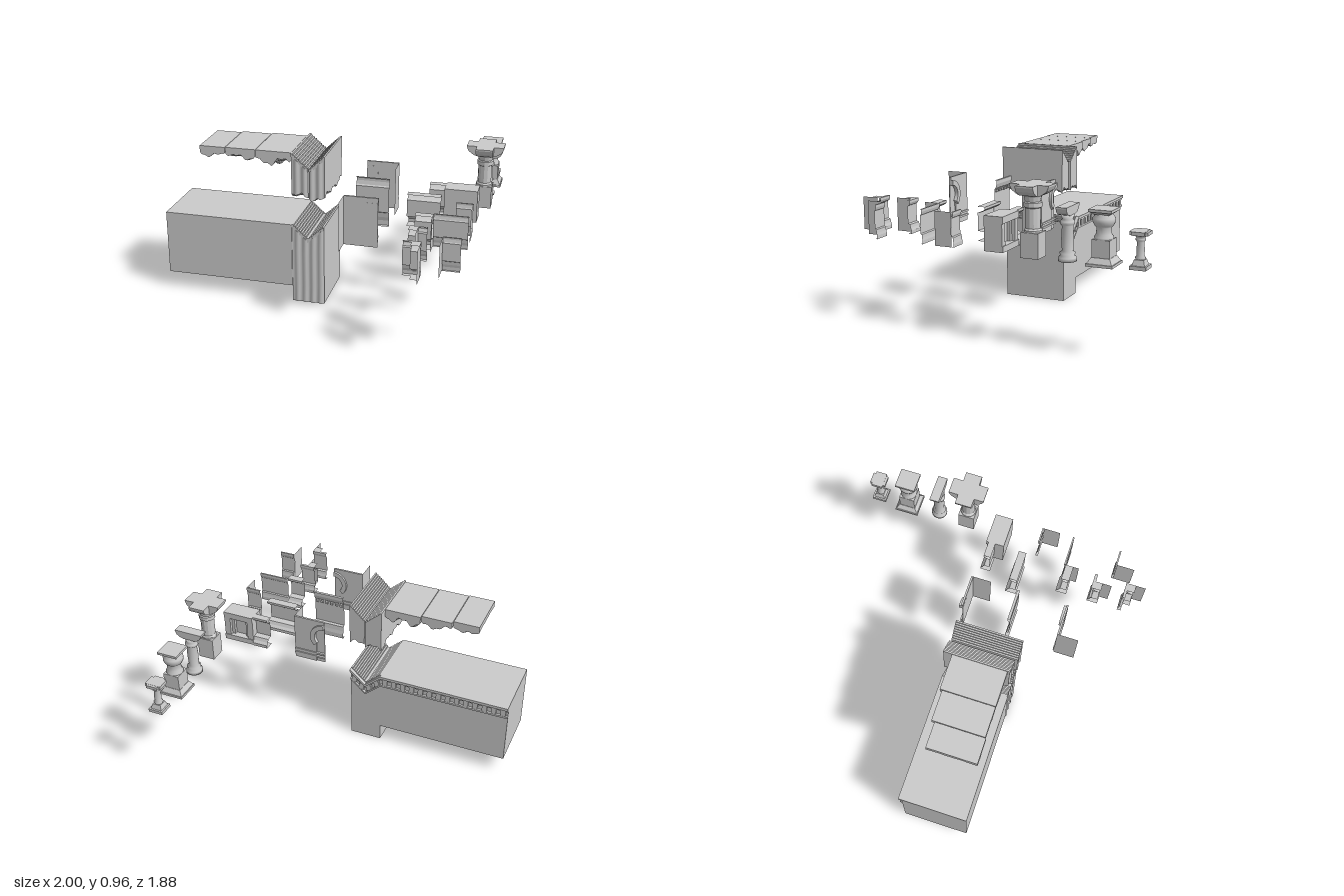
import * as THREE from 'three';

const mat = new THREE.MeshStandardMaterial({ color: 0xcccccc, flatShading: true, side: THREE.DoubleSide });
const smooth = new THREE.MeshStandardMaterial({ color: 0xcccccc, side: THREE.DoubleSide });

export function createModel() {
  const root = new THREE.Group();
  const add = (name, geo, parent = root, m = mat) => {
    const mesh = new THREE.Mesh(geo, m);
    mesh.name = name;
    parent.add(mesh);
    return mesh;
  };
  const group = (name, x = 0, y = 0, z = 0) => {
    const g = new THREE.Group();
    g.name = name;
    g.position.set(x, y, z);
    root.add(g);
    return g;
  };
  const box = (name, x0, x1, y0, y1, z0, z1, parent = root) => {
    const geo = new THREE.BoxGeometry(x1 - x0, y1 - y0, z1 - z0);
    geo.translate((x0 + x1) / 2, (y0 + y1) / 2, (z0 + z1) / 2);
    return add(name, geo, parent);
  };
  const extrude = (pts, depth) => new THREE.ExtrudeGeometry(
    new THREE.Shape(pts.map(p => new THREE.Vector2(...p))), { depth, bevelEnabled: false });

  // Slab whose top and bottom follow functions of x and z, with a rippled front
  const slab = (name, x0, x1, z0, z1, top, bottom, ripple = 0, m = mat) => {
    const geo = new THREE.BoxGeometry(1, 1, 1, 18, 4, 24), p = geo.attributes.position;
    for (let i = 0; i < p.count; i++) {
      const v = p.getY(i) + 0.5, w = p.getZ(i) + 0.5;
      const x = x0 + (x1 - x0) * (p.getX(i) + 0.5);
      const z = z0 + (z1 - z0) * w - ripple * (w > 0.99 ? 1 + Math.sin(x * 130) : 0);
      const b = bottom(x, z), t = top(x, z);
      p.setXYZ(i, x, b + (t - b) * v, z);
    }
    geo.computeVertexNormals();
    return add(name, geo, root, m);
  };
  const rough = (x, z) => 0.5 + 0.2 * Math.sin(x * 47 + z * 13) + 0.18 * Math.sin(z * 41 - x * 19)
    + 0.12 * Math.sin(x * 113 + z * 97);

  // Stepped strip running along x; rises from xa to xb
  const steps = (name, xa, xb, ya, yb, z0, z1, thick) => {
    const n = 9, pts = [[xa, ya - thick]], dx = (xb - xa) / n, dy = (yb - ya) / n;
    for (let i = 0; i < n; i++) {
      pts.push([xa + i * dx, ya + (i + 1) * dy], [xa + (i + 1) * dx, ya + (i + 1) * dy]);
    }
    pts.push([xb, yb - thick]);
    add(name, extrude(pts, z1 - z0).translate(0, 0, z0));
  };

  // Ground block and stair block with a valley
  box('groundBlock', -1, -0.19, 0.105, 0.51, -0.075, 0.33);
  const mid = -0.09;
  slab('stairBlock', -0.19, 0.01, -0.075, 0.33, x => 0.41 + 0.9 * Math.abs(x - mid), () => 0, 0.005, smooth);
  steps('lowerStairs', mid, -0.19, 0.42, 0.51, -0.075, 0.325, 0.02);
  steps('lowerStairs', mid, 0.01, 0.42, 0.51, -0.075, 0.325, 0.02);

  // Frieze on the back of the block, following the stairs
  const frieze = (name, xa, xb, ya, yb, teeth) => {
    const g = group(name);
    const band = (y0, y1, d) => add('friezeBand', extrude(
      [[xa, ya - y0], [xb, yb - y0], [xb, yb - y1], [xa, ya - y1]], d).translate(0, 0, -0.075 - d), g);
    band(0, 0.018, 0.022);
    band(0.018, 0.03, 0.014);
    band(0.068, 0.08, 0.014);
    for (let i = 0; i < teeth; i++) {
      const t = (i + 0.5) / teeth, x = xa + (xb - xa) * t, y = ya + (yb - ya) * t;
      box('friezeTooth', x - 0.015, x + 0.015, y - 0.07, y - 0.028, -0.088, -0.073, g);
    }
  };
  frieze('blockFrieze', -1, -0.19, 0.51, 0.51, 14);
  frieze('stairFrieze', -0.19, mid, 0.51, 0.42, 2);
  frieze('stairFrieze', mid, 0.01, 0.42, 0.51, 2);

  // Floating stairs on ragged rock
  for (const [xa, xb, z0, z1] of [[-0.085, -0.188, -0.08, 0.33], [-0.075, 0.02, -0.07, 0.345]]) {
    const top = x => 0.86 + 0.09 * Math.abs((x - xa) / (xb - xa));
    slab('hangingRock', Math.min(xa, xb), Math.max(xa, xb), z0, z1, top,
      (x, z) => 0.73 - 0.055 * rough(x, z), 0.004, smooth);
    steps('upperStairs', xa, xb, 0.87, 0.96, z0, z1 - 0.004, 0.02);
  }
  // Floating ledges with ragged undersides
  for (const [x0, x1, z0, z1, deep] of [[-0.76, -0.603, 0.01, 0.315, 0.06], [-0.6, -0.413, -0.01, 0.31, 0.068],
    [-0.41, -0.19, -0.025, 0.31, 0.095]]) {
    slab('floatingLedge', x0, x1, z0, z1, () => 0.96, (x, z) => {
      const edge = Math.sin(Math.PI * (x - x0) / (x1 - x0)) ** 0.5 || 0;
      return 0.93 - (deep - 0.02) * rough(x, z) * (0.35 + 0.75 * edge);
    });
  }

  // Open wall strip facing back: plinth, wall and crown
  const profile = [[0, 0], [0.07, 0], [0.07, 0.02], [0.055, 0.035], [0.045, 0.055], [0.005, 0.06],
    [0.005, 0.165], [0.03, 0.17], [0.05, 0.185], [0.05, 0.2], [0, 0.2]];
  const strip = (name, x0, x1, zWall, scale = 1, height = 1) => {
    const pos = [], idx = [];
    profile.forEach(([d, y], i) => {
      pos.push(x0, 0.51 + y * height, zWall - d * scale, x1, 0.51 + y * height, zWall - d * scale);
      if (i) idx.push(2 * i - 2, 2 * i, 2 * i - 1, 2 * i - 1, 2 * i, 2 * i + 1);
    });
    const geo = new THREE.BufferGeometry();
    geo.setAttribute('position', new THREE.Float32BufferAttribute(pos, 3));
    geo.setIndex(idx);
    geo.computeVertexNormals();
    return add(name, geo);
  };
  const sideWall = (x, z0, z1, h = 0.2) => {
    const geo = new THREE.PlaneGeometry(z1 - z0, h);
    geo.rotateY(Math.PI / 2).translate(x, 0.51 + h / 2, (z0 + z1) / 2);
    return add('returnWall', geo);
  };
  strip('wallStrip', 0.48, 0.68, 0.17);
  strip('cornerStrip', 0.58, 0.68, 0.475);
  strip('thinWall', 0.68, 0.88, 0.425, 0.2);
  strip('thinWall', 0.78, 0.88, 0.225, 0.2);
  strip('thinWall', 0.78, 0.88, 0.73, 0.2);
  strip('cornerStrip', 0.58, 0.68, 0.635, 0.35);
  strip('cornerStrip', 0.58, 0.68, 0.835, 0.35);
  strip('cornerStrip', 0.58, 0.63, 0.68);
  strip('cornerStrip', 0.63, 0.68, 0.88);
  strip('cornerStrip', 0.58, 0.68, -0.035, 0.9);
  // Side return of the profiled corner
  const cap = extrude([...profile.map(([d, y]) => [d, y]), [-0.035, 0.2], [-0.035, 0]], 0.001);
  add('profiledReturn', cap.rotateY(Math.PI / 2).translate(0.68, 0.51, 0.475));
  sideWall(0.88, 0.225, 0.33);
  sideWall(0.63, 0.635, 0.735);
  sideWall(0.78, 0.73, 0.84);
  sideWall(0.68, 0.84, 0.94);

  // Doorway box with a stepped recess on its back face
  const door = group('doorwayBox');
  box('doorwayCore', 0.68, 0.88, 0.51, 0.71, -0.05, 0.02, door);
  box('doorwayPlinth', 0.68, 0.88, 0.51, 0.545, -0.095, -0.05, door);
  box('doorwayLintel', 0.68, 0.88, 0.67, 0.71, -0.095, -0.05, door);
  for (const s of [-1, 1]) {
    const c = 0.78 + s * 0.08, i = 0.78 + s * 0.05;
    box('doorwayJamb', c - 0.02, c + 0.02, 0.545, 0.67, -0.09, -0.05, door);
    box('doorwayInnerJamb', i - 0.01, i + 0.01, 0.545, 0.66, -0.07, -0.05, door);
  }

  // Tall half arches, mirrored in pairs, with a return wall
  const halfArch = (z, s) => {
    const g = group('halfArch', 0.28, 0.51, z);
    g.scale.x = s;
    const wall = new THREE.Shape();
    wall.moveTo(-0.1, 0).lineTo(0.045, 0).lineTo(0.045, 0.13);
    wall.absarc(0.1, 0.19, 0.07, Math.PI * 1.2, Math.PI / 2, true);
    wall.lineTo(0.1, 0.3).lineTo(-0.1, 0.3);
    add('archWall', new THREE.ExtrudeGeometry(wall, { depth: 0.012, bevelEnabled: false }), g);
    const ring = new THREE.Shape();
    ring.absarc(0.1, 0.19, 0.09, Math.PI / 2, Math.PI * 1.25, false);
    ring.absarc(0.1, 0.19, 0.06, Math.PI * 1.25, Math.PI / 2, true);
    add('archMoulding', new THREE.ExtrudeGeometry(ring, { depth: 0.025, bevelEnabled: false })
      .translate(0, 0, -0.014), g);
    box('archFilling', 0.03, 0.1, 0, 0.27, 0.008, 0.013, g);
    for (const y of [0.03, 0.055]) box('archBaseBand', -0.1, 0.1, y, y + 0.012, -0.006, 0.012, g);
  };
  halfArch(0.51, 1);
  halfArch(-0.095, -1);
  sideWall(0.18, 0.51, 0.64, 0.3);
  sideWall(0.38, -0.095, 0.03, 0.3);
  // Plain tall wall
  strip('tallWall', 0.18, 0.38, 0.215, 0.33, 1.5);
  for (let i = 0; i < 6; i++) box('wallTooth', 0.19 + i * 0.033, 0.205 + i * 0.033, 0.74, 0.757, 0.2, 0.213);

  // Columns
  const turned = (pts, parent, n = 24) => add('turnedShaft',
    new THREE.LatheGeometry(pts.map(p => new THREE.Vector2(...p)), n), parent, n > 12 ? smooth : mat);
  const block = (name, r, y0, y1, parent, rz = r) => box(name, -r, r, y0, y1, -rz, rz, parent);
  const taper = (name, r0, r1, y0, y1, parent) => add(name, new THREE.CylinderGeometry(
    r1 * Math.SQRT2, r0 * Math.SQRT2, y1 - y0, 4).rotateY(Math.PI / 4).translate(0, (y0 + y1) / 2, 0), parent);
  const bracket = (parent, w, half, y0, y1, inner, turn = 0) => {
    const h = y1 - y0;
    add('bracketCapital', extrude([[-inner, y0], [inner, y0], [w * 0.68, y0 + h * 0.15], [w * 0.9, y0 + h * 0.45],
      [w, y1 - h * 0.15], [w, y1], [-w, y1], [-w, y1 - h * 0.15], [-w * 0.9, y0 + h * 0.45],
      [-w * 0.68, y0 + h * 0.15]], half * 2).translate(0, 0, -half).rotateY(turn), parent);
  };

  const cross = group('crossColumn', 0.885, 0.51, -0.28);
  block('columnBase', 0.052, 0, 0.14, cross);
  turned([[0.05, 0.14], [0.05, 0.15], [0.042, 0.16], [0.042, 0.27], [0.05, 0.275], [0.05, 0.3], [0.043, 0.305],
    [0.048, 0.33], [0.055, 0.345]], cross, 12);
  bracket(cross, 0.113, 0.052, 0.34, 0.4, 0.06);
  bracket(cross, 0.113, 0.052, 0.34, 0.4, 0.06, Math.PI / 2);

  const bracketed = group('bracketColumn', 0.885, 0.51, -0.48);
  turned([[0, 0], [0.05, 0], [0.05, 0.02], [0.038, 0.03], [0.043, 0.045], [0.03, 0.055], [0.034, 0.12], [0.03, 0.19],
    [0.04, 0.2], [0.04, 0.215], [0.028, 0.225], [0.038, 0.25], [0, 0.26]], bracketed);
  bracket(bracketed, 0.088, 0.03, 0.25, 0.3, 0.035);

  const heavy = group('heavyColumn', 0.885, 0.51, -0.685);
  block('columnBase', 0.075, 0, 0.015, heavy);
  taper('columnBaseTaper', 0.07, 0.052, 0.015, 0.045, heavy);
  block('columnPedestal', 0.05, 0.045, 0.14, heavy);
  turned([[0.05, 0.14], [0.052, 0.15], [0.042, 0.165], [0.04, 0.2], [0.05, 0.21], [0.06, 0.23], [0.06, 0.25],
    [0.045, 0.27], [0.05, 0.28]], heavy);
  taper('columnCapTaper', 0.042, 0.06, 0.27, 0.285, heavy);
  block('columnCap', 0.064, 0.285, 0.3, heavy);

  const small = group('smallColumn', 0.885, 0.51, -0.885);
  block('columnBase', 0.045, 0, 0.02, small);
  taper('columnBaseTaper', 0.035, 0.026, 0.02, 0.05, small);
  turned([[0.024, 0.05], [0.028, 0.06], [0.02, 0.07], [0.022, 0.1], [0.018, 0.14], [0.026, 0.15], [0.026, 0.16],
    [0.022, 0.165], [0.036, 0.18]], small, 16);
  block('columnCap', 0.05, 0.18, 0.2, small, 0.035);
  block('columnCap', 0.035, 0.18, 0.199, small, 0.05);

  return root;
}
